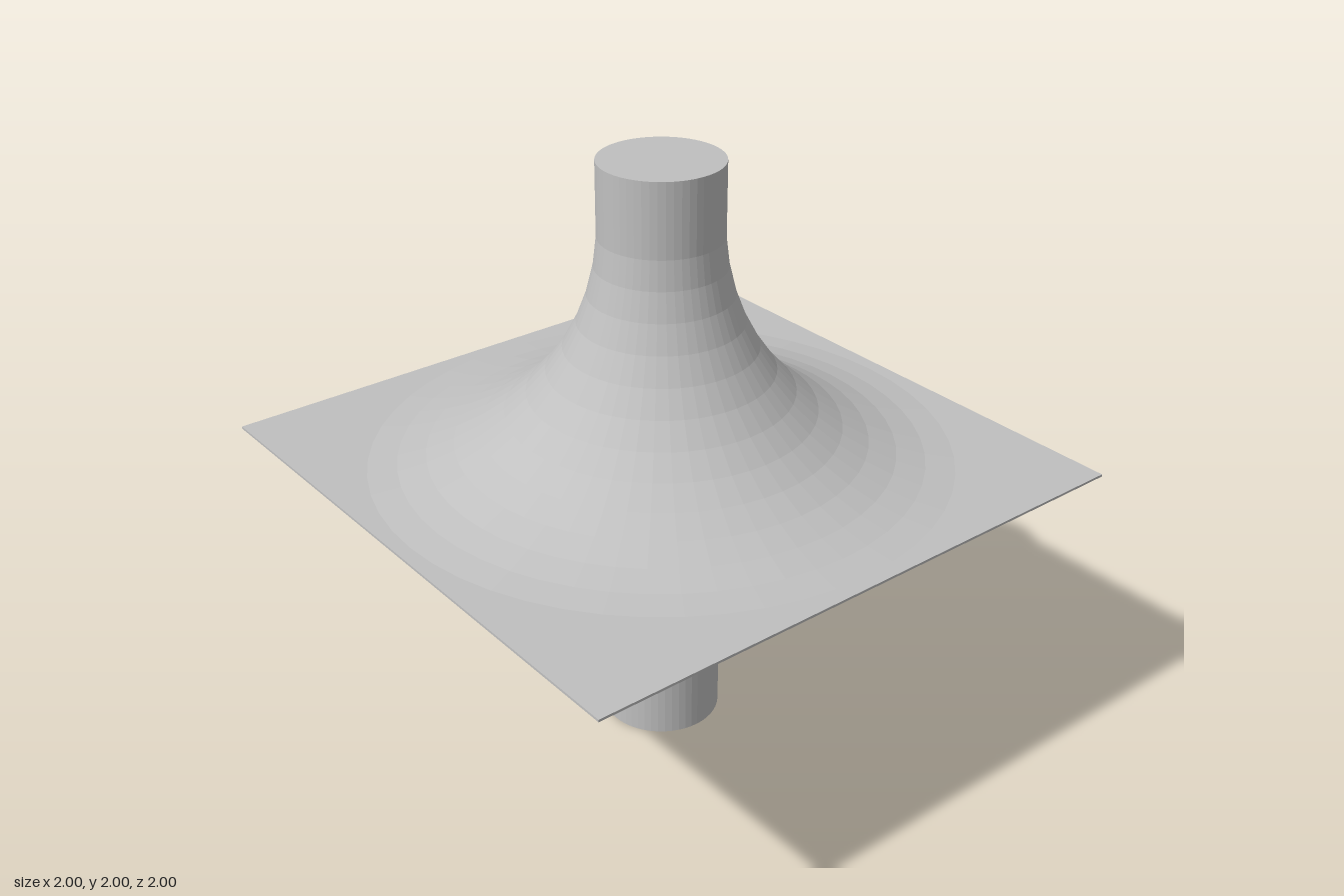
import * as THREE from 'three';

const SIDES = 52;         // facets around the axis and in a full fillet circle
const COLUMN = 0.2;       // column radius
const FILLET = 0.8;       // fillet radius
const HALF_SHEET = 0.004; // half the sheet thickness

// Lower half outline, from the column foot out to the sheet
function flareProfile() {
  const step = (Math.PI * 2) / SIDES;
  const r = FILLET / Math.cos(step / 2);
  const cy = 1 - HALF_SHEET - FILLET;
  const points = [new THREE.Vector2(0, 0), new THREE.Vector2(COLUMN, 0)];
  for (let i = 0; i < SIDES / 4; i++) {
    const a = (i + 0.5) * step;
    points.push(new THREE.Vector2(COLUMN + FILLET - r * Math.cos(a), cy + r * Math.sin(a)));
  }
  return points;
}

export function createModel() {
  const model = new THREE.Group();
  const grey = new THREE.MeshStandardMaterial({ color: 0xc0c0c0, flatShading: true });
  grey.name = 'light grey';

  // Flared column above and below the sheet, with closed ends
  const lower = flareProfile();
  const upper = lower.map((p) => new THREE.Vector2(p.x, 2 - p.y)).reverse();
  const column = new THREE.Mesh(new THREE.LatheGeometry([...lower, ...upper], SIDES), grey);
  column.name = 'flaredColumn';
  model.add(column);

  // Thin square sheet at mid height
  const sheet = new THREE.Mesh(new THREE.BoxGeometry(2, HALF_SHEET * 2, 2), grey);
  sheet.name = 'squareSheet';
  sheet.position.y = 1;
  model.add(sheet);

  return model;
}
